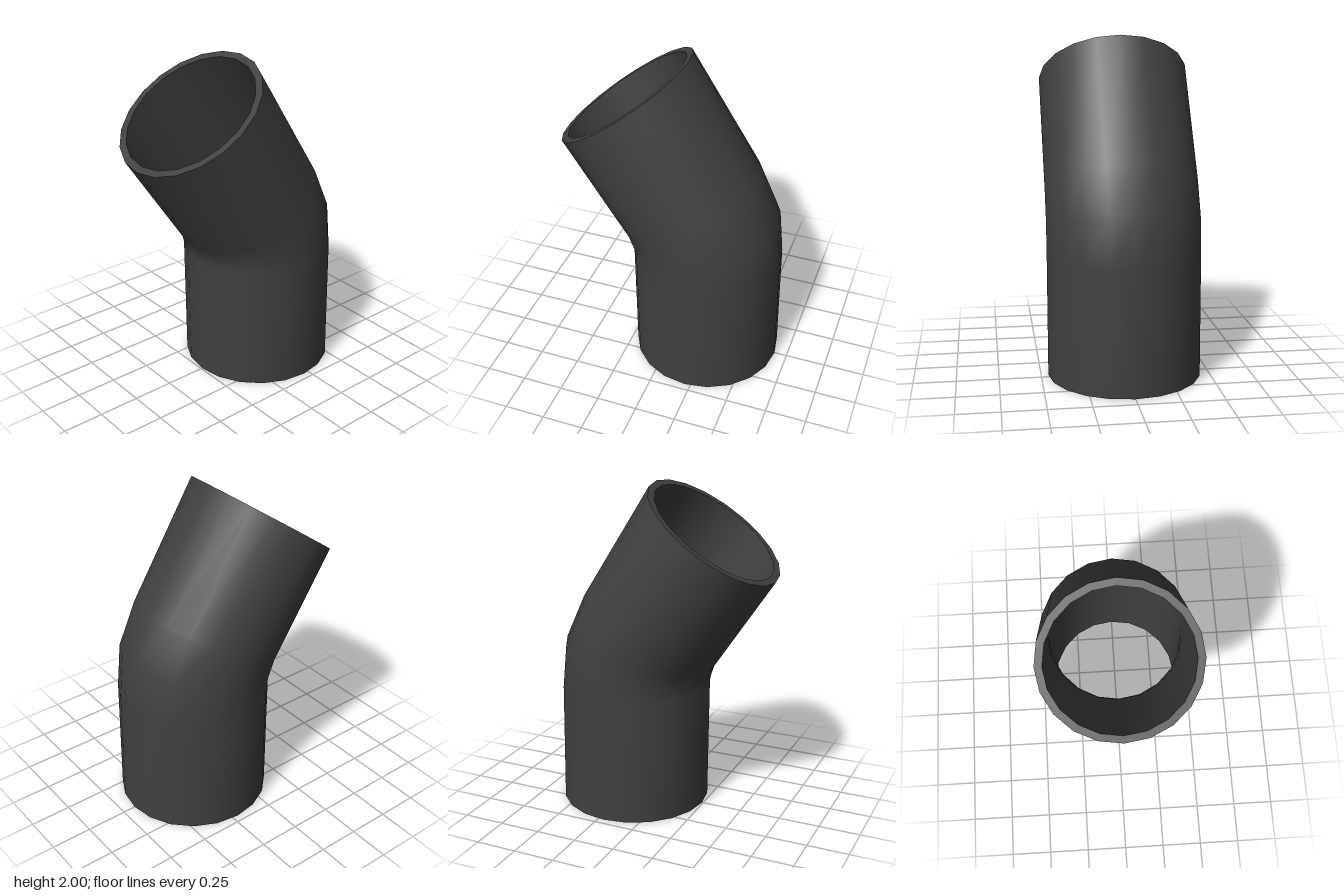
import * as THREE from 'three';

const SIDES = 20;
const OUTER = 0.457, INNER = 0.413;

// Bend stations: [front z, front y, back z, back y]
const STATIONS = [
  [0.243, 0, -0.671, 0],
  [0.251, 0.77, -0.66, 0.74],
  [0.262, 0.815, -0.63, 1.035],
  [0.283, 0.875, -0.503, 1.31],
  [0.675, 1.465, -0.065, 2.0],
];

// One ring of points across a station, scaled for the outer or inner wall
function ring([fz, fy, bz, by], radius) {
  const k = radius / OUTER / 2;
  const points = [];
  for (let j = 0; j < SIDES; j++) {
    const a = (j / SIDES) * Math.PI * 2;
    const c = Math.cos(a) * k;
    points.push(
      Math.sin(a) * radius,
      (fy + by) / 2 + (fy - by) * c,
      (fz + bz) / 2 + (fz - bz) * c,
    );
  }
  return points;
}

// Closed band of quads through successive rings, smooth within itself
function band(name, rings, material) {
  const index = [];
  for (let i = 0; i < rings.length - 1; i++) {
    for (let j = 0; j < SIDES; j++) {
      const n = (j + 1) % SIDES;
      const a = i * SIDES + j, b = i * SIDES + n;
      const c = b + SIDES, d = a + SIDES;
      index.push(a, b, c, a, c, d);
    }
  }
  const geometry = new THREE.BufferGeometry();
  geometry.setAttribute('position', new THREE.Float32BufferAttribute(rings.flat(), 3));
  geometry.setIndex(index);
  geometry.computeVertexNormals();
  const mesh = new THREE.Mesh(geometry, material);
  mesh.name = name;
  return mesh;
}

export function createModel() {
  const group = new THREE.Group();
  group.name = 'bentPipe';
  const material = new THREE.MeshStandardMaterial({ color: 0x404040 });
  const outer = STATIONS.map((s) => ring(s, OUTER));
  const inner = STATIONS.map((s) => ring(s, INNER));
  const last = STATIONS.length - 1;

  // Walls and the flat rims that join them at both ends
  group.add(
    band('outerWall', outer, material),
    band('topRim', [outer[last], inner[last]], material),
    band('innerWall', [...inner].reverse(), material),
    band('bottomRim', [inner[0], outer[0]], material),
  );
  return group;
}
